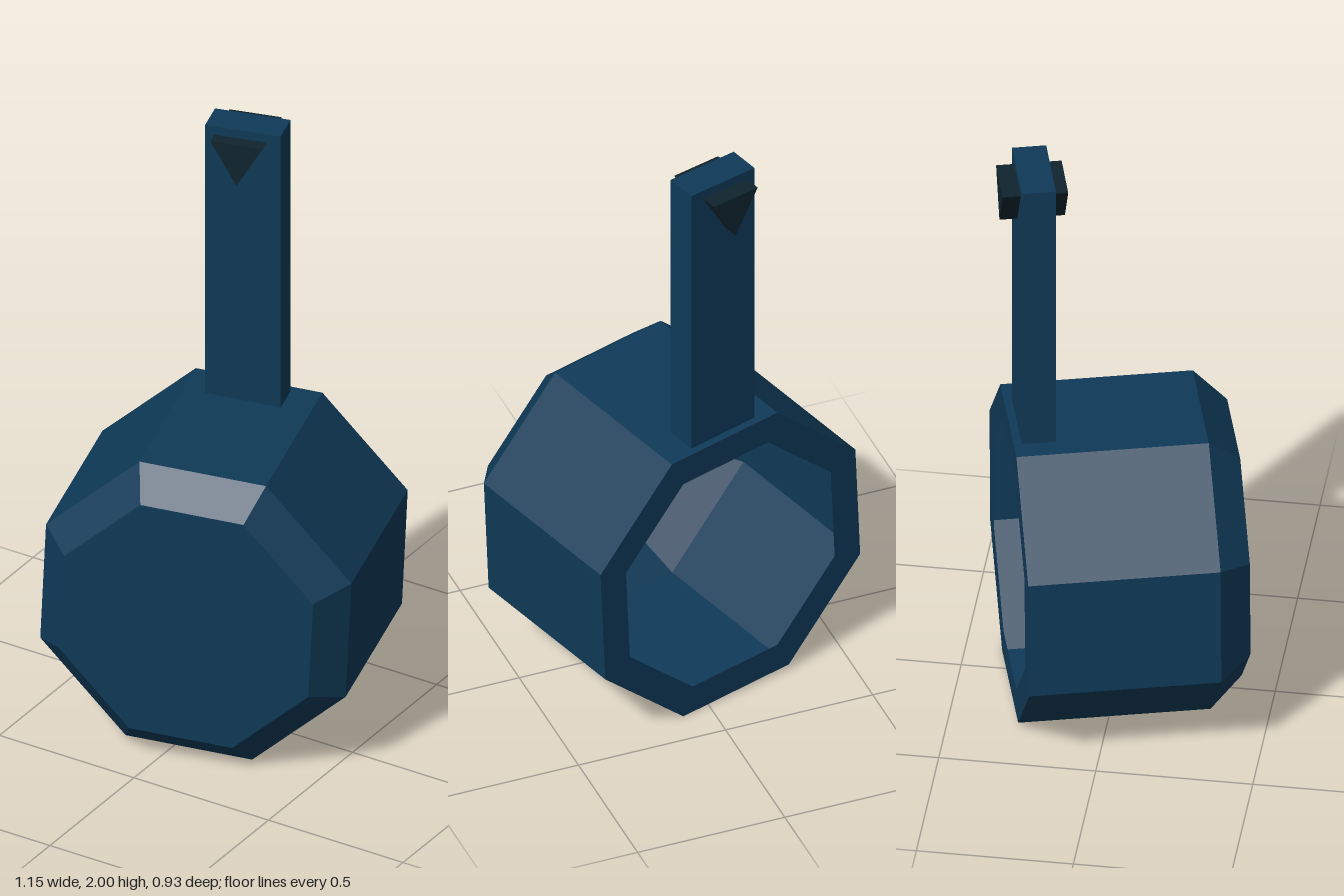
import * as THREE from 'three';

export function createModel() {
  const model = new THREE.Group();
  model.name = 'lamp';

  const navy = new THREE.MeshStandardMaterial({ color: 0x0f3a58, flatShading: true, side: THREE.DoubleSide });
  navy.name = 'navy';
  const darkSlate = new THREE.MeshStandardMaterial({ color: 0x10242e, flatShading: true });
  darkSlate.name = 'dark slate';

  const add = (name, geometry, material, x, y, z) => {
    const mesh = new THREE.Mesh(geometry, material);
    mesh.name = name;
    mesh.position.set(x, y, z);
    model.add(mesh);
  };

  // Hollow octagonal housing: back rim, straight wall, bevel, front face
  const profile = [[0.438, 0], [0.545, 0], [0.545, 0.611], [0.4445, 0.715], [0, 0.715]]
    .map(([r, h]) => new THREE.Vector2(r, h));
  const roll = THREE.MathUtils.degToRad(19.9);
  const housing = new THREE.LatheGeometry(profile, 8, roll).rotateX(Math.PI / 2);
  add('housing', housing, navy, 0, 0.513, 0);

  // Upright mounting arm, its foot just inside the housing
  const armBottom = 0.97;
  add('mountingArm', new THREE.BoxGeometry(0.249, 2 - armBottom, 0.108), navy,
    0.01, (2 + armBottom) / 2, 0.08);

  // Three-sided pivot pin through the top of the arm, one corner down
  const w = 0.1 * Math.cos(Math.PI / 6);
  const triangle = new THREE.Shape([
    new THREE.Vector2(-w, 0.05), new THREE.Vector2(0, -0.1), new THREE.Vector2(w, 0.05),
  ]);
  const pin = new THREE.ExtrudeGeometry(triangle, { depth: 0.208, bevelEnabled: false }).translate(0, 0, -0.104);
  add('pivotPin', pin, darkSlate, 0.002, 1.92, 0.073);

  // Whole lamp is turned slightly to its left
  model.position.set(-0.0825, 0, -0.335);
  model.rotation.y = THREE.MathUtils.degToRad(15.1);

  const root = new THREE.Group();
  root.name = 'lampRoot';
  root.add(model);
  return root;
}
